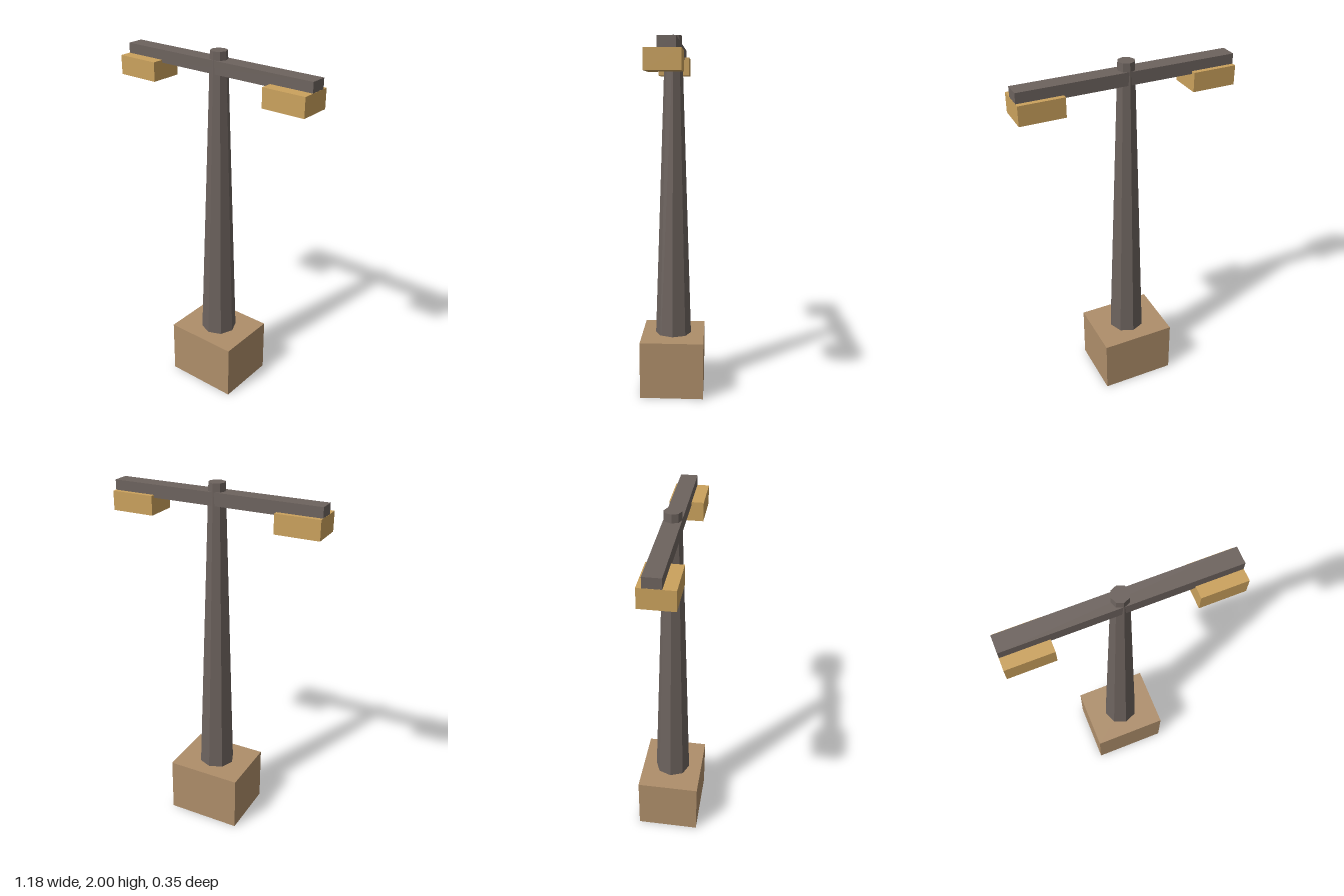
import * as THREE from 'three';

const material = (name, color) => {
  const m = new THREE.MeshStandardMaterial({ color });
  m.name = name;
  return m;
};

export function createModel() {
  const model = new THREE.Group();
  model.name = 'lampPost';
  const concrete = material('tan concrete', 0xae8e6a);
  const metal = material('dark metal', 0x6d635e);
  const amber = material('amber lamp', 0xcba25d);

  const add = (name, geometry, mat, x, y, z) => {
    const mesh = new THREE.Mesh(geometry, mat);
    mesh.name = name;
    mesh.position.set(x, y, z);
    model.add(mesh);
  };

  // Footing block
  add('base', new THREE.BoxGeometry(0.424, 0.32, 0.354), concrete, 0, 0.16, 0);

  // Tapered octagonal pole, sunk into the footing and faceted
  const bottom = 0.004;
  const pole = new THREE.CylinderGeometry(0.046, 0.112, 2 - bottom, 8).toNonIndexed();
  pole.computeVertexNormals();
  add('pole', pole, metal, 0, (2 + bottom) / 2, 0);

  // Crossbar
  add('crossbar', new THREE.BoxGeometry(1.182, 0.07, 0.092), metal, 0, 1.92, 0);

  // Lamp heads at both ends, reaching forward and overlapping the crossbar
  for (const [name, side] of [['leftLamp', 1], ['rightLamp', -1]]) {
    add(name, new THREE.BoxGeometry(0.242, 0.105, 0.183), amber, side * 0.471, 1.8475, 0.019);
  }
  return model;
}
